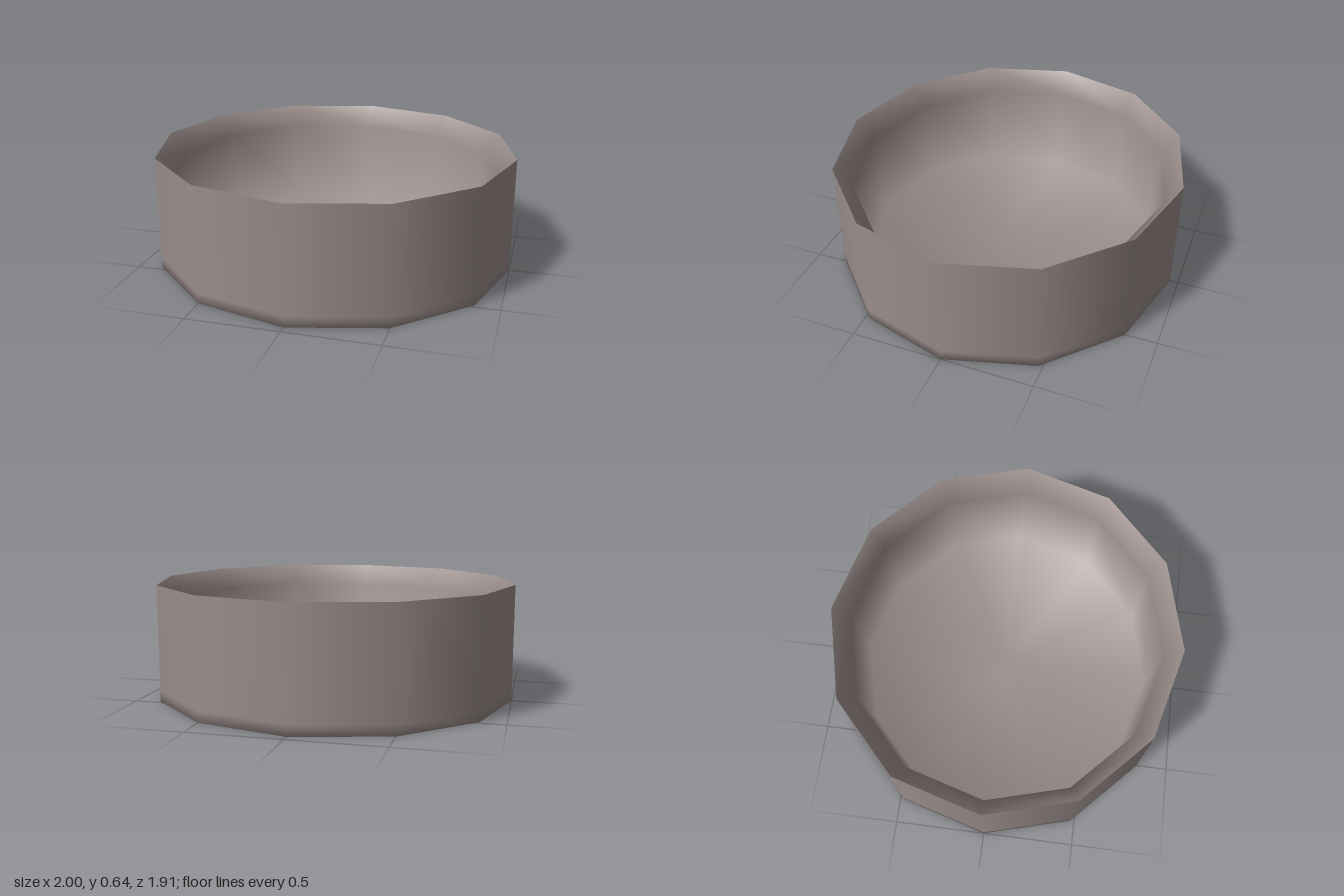
import * as THREE from 'three';

const SIDES = 12;
const HEIGHT = 0.64;

export function createModel() {
  const bowl = new THREE.Group();
  bowl.name = 'bowl';
  const material = new THREE.MeshStandardMaterial({ color: 0x9a8d8b });

  // Twelve-sided turned surface, slightly narrower front to back
  function turned(name, profile) {
    const points = profile.map(([r, y]) => new THREE.Vector2(r, y));
    const geometry = new THREE.LatheGeometry(points, SIDES, Math.PI / 2);
    geometry.scale(1, 1, 0.956);
    const mesh = new THREE.Mesh(geometry, material);
    mesh.name = name;
    bowl.add(mesh);
  }

  // Flat base with a softly shaded foot, rising into the upright wall
  turned('outerWall', [[0, 0], [0.96, 0], [1, 0], [1, 0.06], [1, HEIGHT]]);

  // Sloping lip, nearly upright inner wall and flat floor
  turned('innerBowl', [[1, HEIGHT], [0.905, 0.525], [0.86, 0.06], [0, 0.06]]);

  return bowl;
}
